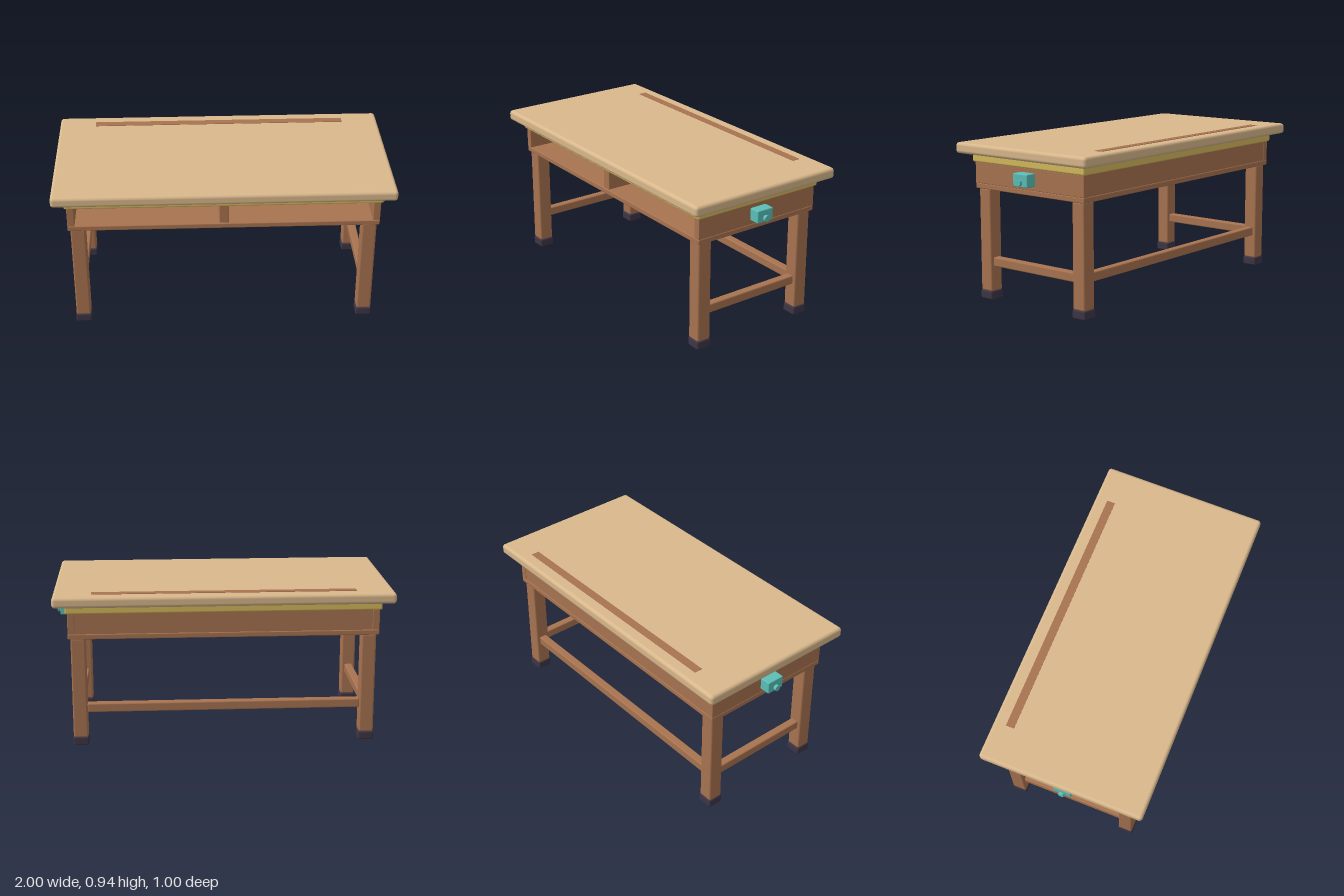
import * as THREE from 'three';
import { RoundedBoxGeometry } from 'three/addons/geometries/RoundedBoxGeometry.js';

const material = (name, color) => {
  const m = new THREE.MeshStandardMaterial({ color });
  m.name = name;
  return m;
};

export function createModel() {
  const table = new THREE.Group();
  table.name = 'workbench';

  const paleWood = material('paleWood', 0xd9b88c);
  const brownWood = material('brownWood', 0xa87350);
  const yellowTrim = material('yellowTrim', 0xd4b95c);
  const teal = material('teal', 0x5bbfb8);
  const darkRubber = material('darkRubber', 0x3d3545);

  // Box given by its min and max on each axis, softened when r > 0
  function box(name, mat, [x0, x1], [y0, y1], [z0, z1], r = 0) {
    const size = [x1 - x0, y1 - y0, z1 - z0];
    const geo = r ? new RoundedBoxGeometry(...size, 3, r) : new THREE.BoxGeometry(...size);
    const mesh = new THREE.Mesh(geo, mat);
    mesh.name = name;
    mesh.position.set((x0 + x1) / 2, (y0 + y1) / 2, (z0 + z1) / 2);
    table.add(mesh);
    return mesh;
  }
  const about = (c, half) => [c - half, c + half];

  // Table top, pencil strip and trim below
  box('tableTop', paleWood, [-1, 1], [0.872, 0.937], [-0.5, 0.5], 0.02);
  box('pencilStrip', brownWood, [-0.775, 0.775], [0.932, 0.9395], [-0.425, -0.375]);
  box('trim', yellowTrim, [-0.93, 0.93], [0.821, 0.873], [-0.431, 0.431], 0.01);

  // Open-fronted storage compartment
  box('shelf', brownWood, [-0.918, 0.918], [0.665, 0.697], [-0.418, 0.418], 0.006);
  box('backPanel', brownWood, [-0.877, 0.877], [0.697, 0.822], [-0.415, -0.375]);
  box('divider', brownWood, [-0.028, 0.028], [0.697, 0.822], [-0.38, 0.41], 0.004);

  for (const s of [-1, 1]) {
    box('sidePanel', brownWood, about(s * 0.897, 0.021), [0.696, 0.822], [-0.418, 0.418], 0.004);

    // Legs with rubber feet
    for (const t of [-1, 1]) {
      box('leg', brownWood, about(s * 0.86, 0.044), [0.05, 0.667], about(t * 0.361, 0.044), 0.011);
      box('foot', darkRubber, about(s * 0.86, 0.047), [0, 0.054], about(t * 0.361, 0.047), 0.01);
    }

    // Side rail between front and back leg
    box('sideRail', brownWood, about(s * 0.86, 0.025), [0.202, 0.257], [-0.319, 0.319], 0.008);

    // Side clamp with round knob
    box('clamp', teal, about(s * 0.948, 0.034), [0.721, 0.797], [-0.055, 0.055], 0.006);
    const knob = new THREE.Mesh(new THREE.CylinderGeometry(0.018, 0.018, 0.03, 24), teal);
    knob.name = 'clampKnob';
    knob.rotation.z = Math.PI / 2;
    knob.position.set(s * 0.985, 0.746, 0);
    table.add(knob);
  }

  // Long rail between the back legs
  box('backRail', brownWood, [-0.818, 0.818], [0.202, 0.257], about(-0.361, 0.025), 0.008);

  return table;
}
